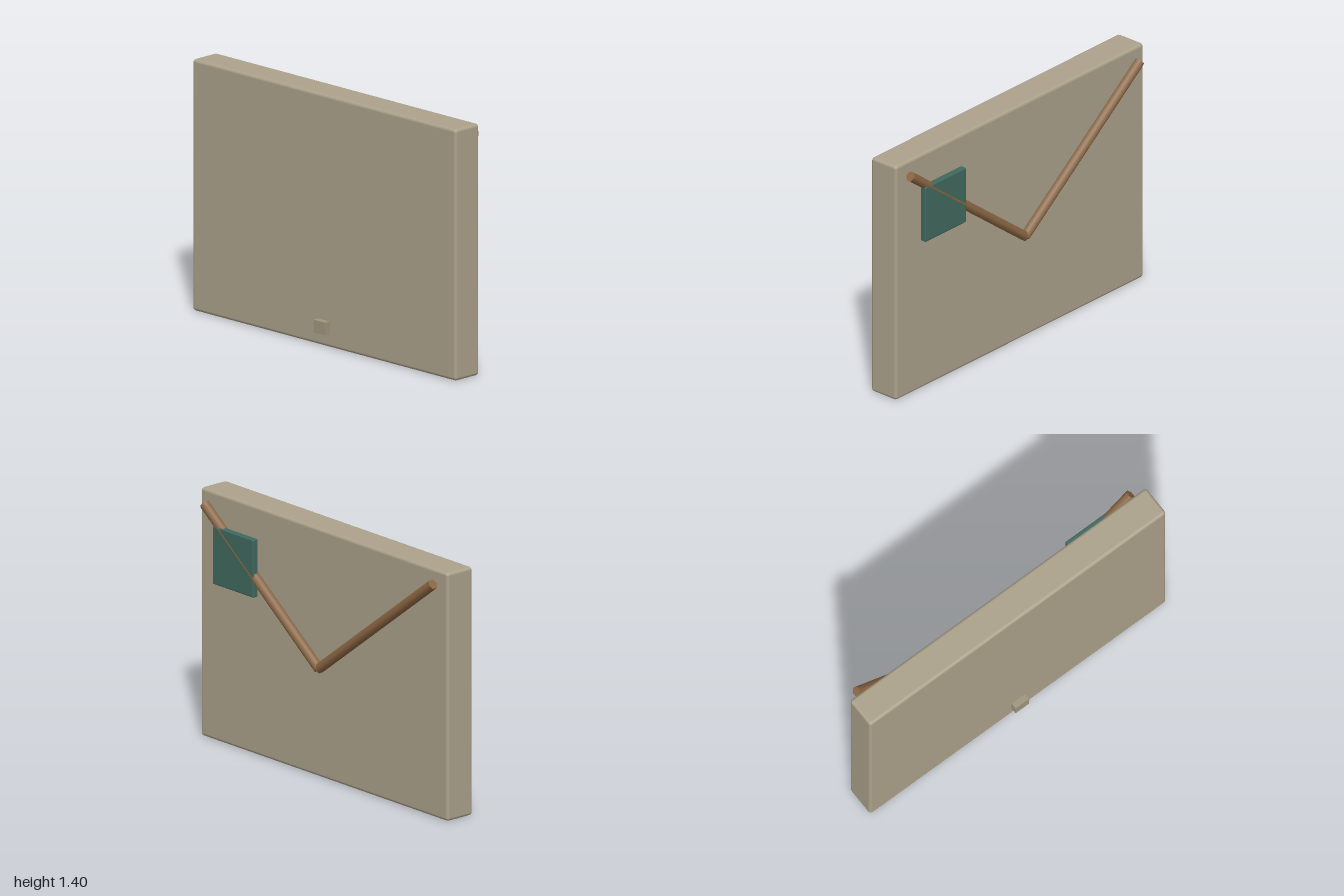
import * as THREE from 'three';
import { RoundedBoxGeometry } from 'three/addons/geometries/RoundedBoxGeometry.js';

const material = (color) => new THREE.MeshStandardMaterial({ color });

export function createModel() {
  const model = new THREE.Group();
  model.name = 'wallPanel';

  const add = (name, geometry, mat, x, y, z) => {
    const mesh = new THREE.Mesh(geometry, mat);
    mesh.name = name;
    mesh.position.set(x, y, z);
    model.add(mesh);
    return mesh;
  };

  // Main slab with softly bevelled edges
  add('board', new RoundedBoxGeometry(2, 1.4, 0.181, 2, 0.018), material(0xaca28b), 0, 0.7, 0.0165);

  // Small block low on the front
  add('frontButton', new THREE.BoxGeometry(0.09, 0.072, 0.045), material(0xa0967c), 0, 0.109, 0.1195);

  // Two six-sided rods forming a V on the back
  const rodMaterial = material(0x8c6743);
  const bottom = new THREE.Vector3(0, 0.628, -0.111);
  for (const side of [1, -1]) {
    const top = new THREE.Vector3(side * 0.925, 1.33, -0.111);
    const direction = top.clone().sub(bottom);
    const middle = top.clone().add(bottom).multiplyScalar(0.5);
    const rod = add(side > 0 ? 'leftRod' : 'rightRod',
      new THREE.CylinderGeometry(0.029, 0.029, direction.length(), 6),
      rodMaterial, middle.x, middle.y, middle.z);
    rod.rotation.z = -Math.atan2(direction.x, direction.y);
  }

  // Square tag threaded on the left rod
  add('tag', new RoundedBoxGeometry(0.33, 0.326, 0.037, 2, 0.007), material(0x40695f), 0.668, 1.071, -0.1185);

  return model;
}
